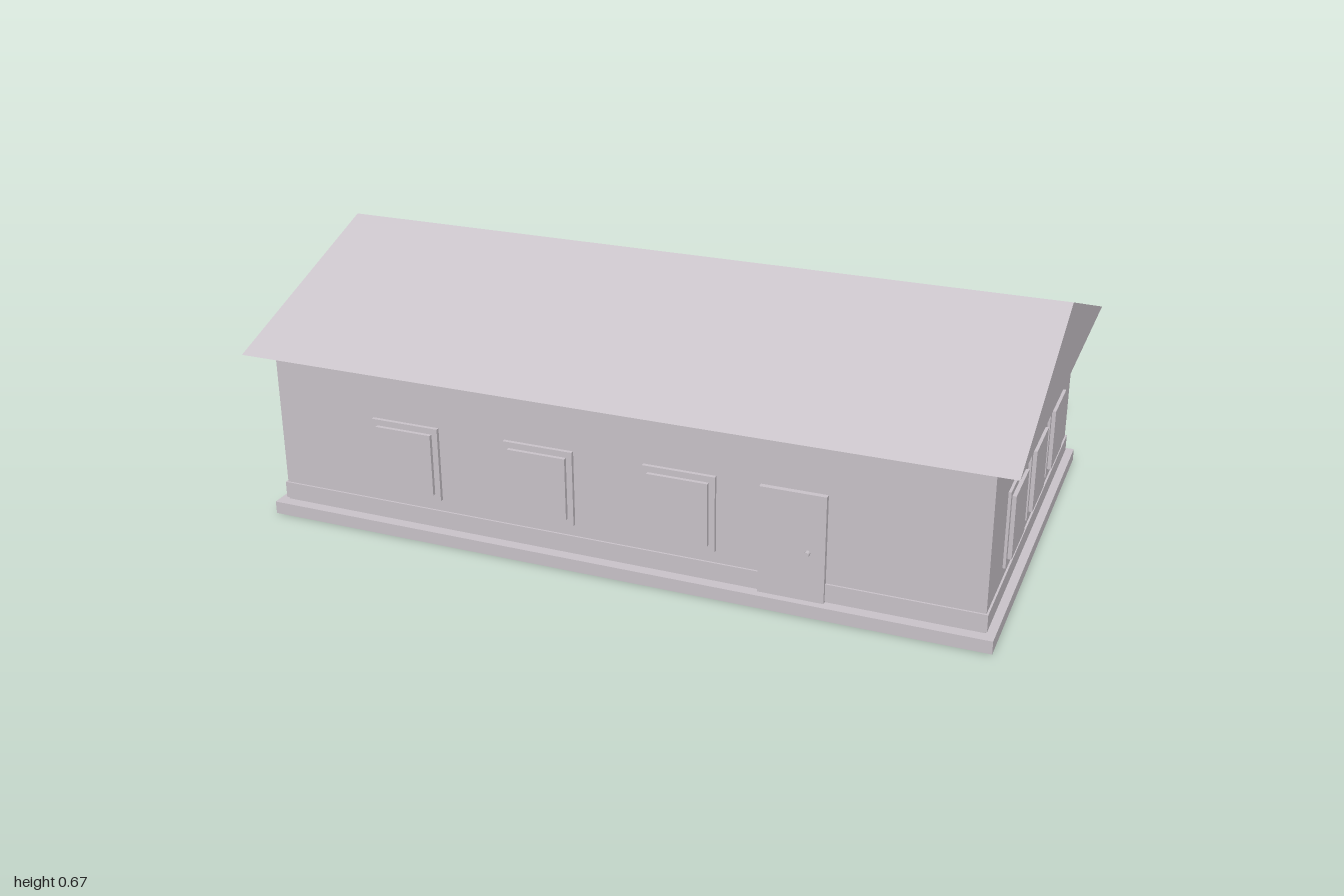
import * as THREE from 'three';

export function createModel() {
  const house = new THREE.Group();
  house.name = 'house';
  const grey = new THREE.MeshStandardMaterial({ color: 0xcbc5cb });
  grey.name = 'pale grey';

  const add = (name, geometry, parent = house) => {
    const mesh = new THREE.Mesh(geometry, grey);
    mesh.name = name;
    parent.add(mesh);
    return mesh;
  };
  // Box centred on x and z, spanning y0 to y1
  const slab = (name, w, d, y0, y1, parent) => {
    const mesh = add(name, new THREE.BoxGeometry(w, y1 - y0, d), parent);
    mesh.position.y = (y0 + y1) / 2;
    return mesh;
  };

  // Body, bottom to top
  slab('foundation', 1.93, 1.11, 0, 0.034);
  slab('walls', 1.88, 1.05, 0.034, 0.462);
  slab('plinth', 1.89, 1.06, 0.04, 0.085);

  // Gabled roof with overhanging eaves
  const gable = new THREE.Shape();
  gable.moveTo(-0.584, 0.462);
  gable.lineTo(0.584, 0.462);
  gable.lineTo(0, 0.673);
  gable.closePath();
  const roof = new THREE.ExtrudeGeometry(gable, { depth: 2, bevelEnabled: false });
  roof.translate(0, 0, -1);
  roof.rotateY(Math.PI / 2);
  add('roof', roof);

  // Window: wide frame with a smaller raised pane, facing +z at the wall
  const addWindow = (x, z, angle) => {
    const unit = new THREE.Group();
    unit.name = 'window';
    slab('windowFrame', 0.188, 0.02, 0.117, 0.318, unit);
    slab('windowPane', 0.157, 0.04, 0.135, 0.302, unit);
    unit.position.set(x, 0, z);
    unit.rotation.y = angle;
    house.add(unit);
  };
  for (const x of [-0.564, -0.19, 0.184]) {
    addWindow(x, 0.525, 0);
    addWindow(x, -0.525, Math.PI);
  }
  for (const z of [-0.262, 0, 0.263]) {
    addWindow(0.937, z, Math.PI / 2);
    addWindow(-0.937, z, -Math.PI / 2);
  }

  // Front door with knob
  const door = slab('door', 0.166, 0.03, 0.036, 0.318);
  door.position.x = 0.473;
  door.position.z = 0.524;
  const knob = add('doorKnob', new THREE.CylinderGeometry(0.007, 0.007, 0.014, 12));
  knob.rotation.x = Math.PI / 2;
  knob.position.set(0.513, 0.165, 0.545);

  return house;
}
